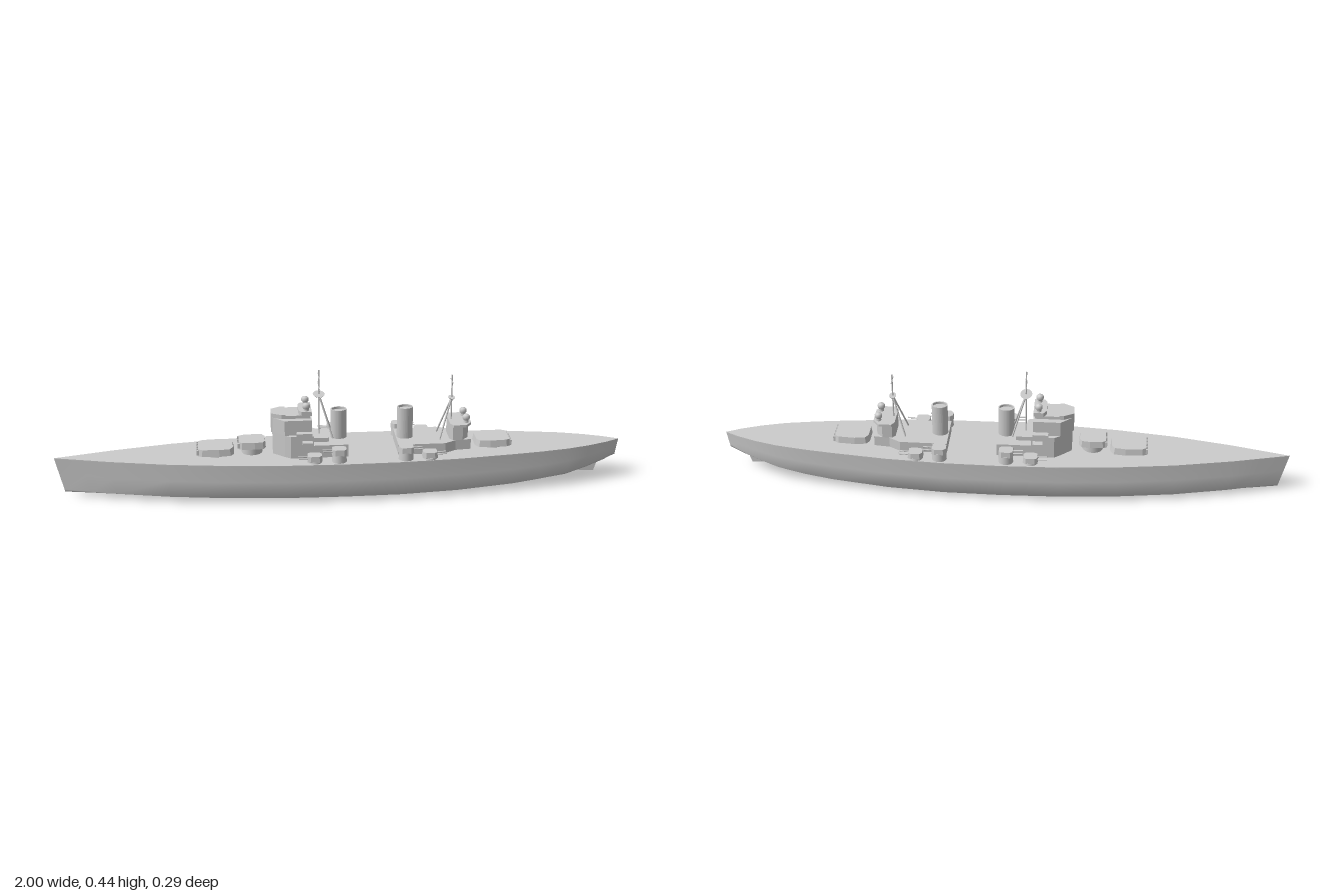
import * as THREE from 'three';

const grey = new THREE.MeshStandardMaterial({ color: 0xcccccc, side: THREE.DoubleSide });

function add(parent, name, geometry, x = 0, y = 0, z = 0) {
  const mesh = new THREE.Mesh(geometry, grey);
  mesh.name = name;
  mesh.position.set(x, y, z);
  parent.add(mesh);
  return mesh;
}

// Solid with a symmetric plan, given as half outline [x, z] from one end to the other
function prism(half, y0, y1, taper = 1) {
  const pts = [...half, ...half.slice().reverse().filter(p => p[1] > 0).map(([x, z]) => [x, -z])];
  const shape = new THREE.Shape(pts.map(([x, z]) => new THREE.Vector2(x, z)));
  const g = new THREE.ExtrudeGeometry(shape, { depth: y1 - y0, bevelEnabled: false });
  g.rotateX(-Math.PI / 2);
  const cx = (half[0][0] + half[half.length - 1][0]) / 2;
  const p = g.attributes.position;
  for (let i = 0; i < p.count; i++) {
    if (p.getY(i) > (y1 - y0) / 2) {
      p.setX(i, cx + (p.getX(i) - cx) * taper);
      p.setZ(i, p.getZ(i) * taper);
    }
  }
  g.translate(0, y0, 0);
  g.computeVertexNormals();
  return g;
}

const box = (x0, x1, y0, y1, w) => prism([[x0, w], [x1, w]], y0, y1);

// Thin round rod between two points
function rod(parent, name, a, b, r) {
  const A = new THREE.Vector3(...a), B = new THREE.Vector3(...b);
  const m = add(parent, name, new THREE.CylinderGeometry(r, r, A.distanceTo(B), 8));
  m.position.copy(A).add(B).multiplyScalar(0.5);
  m.quaternion.setFromUnitVectors(new THREE.Vector3(0, 1, 0), B.sub(A).normalize());
}

// Stations: x, half beam, keel height, chine height, end rake at the foot
const STATIONS = [
  [-1, 0, 0.012, 0.014, 0.03], [-0.9, 0.026, 0.011, 0.014, 0.02], [-0.8, 0.052, 0.01, 0.014, 0.01],
  [-0.6, 0.094, 0.007, 0.013, 0], [-0.4, 0.122, 0.004, 0.012, 0], [-0.2, 0.139, 0.001, 0.012, 0],
  [0, 0.145, 0, 0.012, 0], [0.2, 0.143, 0.001, 0.012, 0], [0.4, 0.131, 0.006, 0.015, 0],
  [0.6, 0.108, 0.011, 0.022, 0], [0.7, 0.094, 0.013, 0.03, 0], [0.8, 0.076, 0.019, 0.042, 0],
  [0.88, 0.053, 0.04, 0.058, -0.003], [0.95, 0.026, 0.062, 0.073, -0.006], [1, 0, 0.08, 0.085, -0.01]];
const DECK = 0.14;

function hullGeometry() {
  const pos = [], idx = [], n = 9;
  for (const [x, w, keel, chine, rake] of STATIONS) {
    const side = [[DECK, 1], [(DECK + chine) / 2, 0.98], [chine + 0.006, 0.99], [chine * 0.6 + keel * 0.4, 0.7]];
    const ring = [...side, [keel, 0], ...side.slice().reverse().map(([y, f]) => [y, -f])];
    for (const [y, f] of ring) pos.push(x + rake * (DECK - y) / (DECK - keel), y, w * f);
  }
  for (let i = 0; i < STATIONS.length - 1; i++) {
    for (let j = 0; j < n - 1; j++) {
      const a = i * n + j, b = a + n;
      idx.push(a, a + 1, b, b, a + 1, b + 1);
    }
  }
  const g = new THREE.BufferGeometry();
  g.setAttribute('position', new THREE.Float32BufferAttribute(pos, 3));
  g.setIndex(idx);
  g.computeVertexNormals();
  return g;
}

// Main turret facing +x, with ribs between the gun ports
function mainTurret(parent, name, x, len, w, base, dir, ports) {
  const t = new THREE.Group();
  t.name = name;
  const h = len / 2;
  add(t, 'barbette', new THREE.CylinderGeometry(w * 0.82, w * 0.82, base - DECK + 0.006, 32), 0, (DECK + base) / 2, 0);
  add(t, 'gunhouse', prism([[-h, w * 0.55], [-h * 0.82, w * 0.9], [-h * 0.2, w], [h * 0.75, w * 0.92], [h, w * 0.75]], base, base + 0.024, 0.94));
  for (let i = 0; i <= ports; i++) {
    const z = (i / ports - 0.5) * w * 1.5;
    add(t, 'portRib', new THREE.BoxGeometry(0.008, 0.018, 0.006), h * 0.97, base + 0.012, z);
  }
  t.position.x = x;
  if (dir < 0) t.rotation.y = Math.PI;
  parent.add(t);
}

// Twin secondary turret on a round base
function sideTurret(parent, x, z, base, dir) {
  const t = new THREE.Group();
  t.name = 'secondaryTurret';
  add(t, 'base', new THREE.CylinderGeometry(0.024, 0.026, base - DECK + 0.004, 20), 0, (base + DECK) / 2, 0);
  add(t, 'gunhouse', prism([[-0.026, 0.012], [-0.016, 0.022], [0.016, 0.022], [0.026, 0.016]], base, base + 0.021, 0.93));
  for (const s of [-1, 1]) {
    rod(t, 'barrel', [0.02, base + 0.011, s * 0.009], [0.058, base + 0.013, s * 0.009], 0.0025);
  }
  t.position.set(x, 0, z);
  if (dir < 0) t.rotation.y = Math.PI;
  parent.add(t);
}

function funnel(parent, name, x) {
  const outer = new THREE.Shape().absellipse(0, 0, 0.028, 0.023, 0, Math.PI * 2);
  outer.holes.push(new THREE.Path().absellipse(0, 0, 0.024, 0.019, 0, Math.PI * 2));
  const g = new THREE.ExtrudeGeometry(outer, { depth: 0.15, bevelEnabled: false, curveSegments: 20 });
  add(parent, name, g.rotateX(-Math.PI / 2), x, DECK, 0);
  const cap = add(parent, name + 'Grate', new THREE.CylinderGeometry(0.024, 0.024, 0.004, 24), x, 0.28, 0);
  cap.scale.z = 0.8;
}

function director(parent, x, y, z) {
  add(parent, 'directorPedestal', new THREE.CylinderGeometry(0.008, 0.01, 0.02, 16), x, y, z);
  const pts = [[0, 0], [0.009, 0.001], [0.013, 0.006], [0.013, 0.015], [0.009, 0.02], [0, 0.022]];
  add(parent, 'director', new THREE.LatheGeometry(pts.map(p => new THREE.Vector2(...p)), 20), x, y + 0.004, z);
}

// Tripod mast with a small top and cross yards [y, half length]
function mast(parent, name, x, foot, apex, top, lean, platform, yards) {
  const m = new THREE.Group();
  m.name = name;
  rod(m, 'pole', [x, foot, 0], [x, top, 0], 0.0025);
  for (const s of [-1, 1]) rod(m, 'leg', [x, apex, 0], [x + lean, foot, s * 0.038], 0.003);
  add(m, 'maintop', new THREE.CylinderGeometry(platform, platform * 0.8, 0.004, 16), x, apex, 0).scale.x = 0.6;
  for (const [y, w] of yards) rod(m, 'yard', [x, y, -w], [x, y, w], 0.0015);
  parent.add(m);
}

export function createModel() {
  const ship = new THREE.Group();
  ship.name = 'battleship';

  // Hull, deck and rudder
  add(ship, 'hull', hullGeometry());
  add(ship, 'deck', prism(STATIONS.map(([x, w]) => [x, w]), DECK - 0.003, DECK));
  const fin = new THREE.Shape([[0.86, 0.022], [0.915, 0.02], [0.93, 0.07], [0.865, 0.06]].map(p => new THREE.Vector2(...p)));
  add(ship, 'rudder', new THREE.ExtrudeGeometry(fin, { depth: 0.006, bevelEnabled: false }), 0, 0, -0.003);

  // Main turrets
  mainTurret(ship, 'forwardTurret', -0.44, 0.128, 0.054, 0.146, -1, 4);
  mainTurret(ship, 'raisedTurret', -0.313, 0.096, 0.044, 0.164, -1, 2);
  mainTurret(ship, 'aftTurret', 0.537, 0.126, 0.054, 0.146, 1, 4);

  // Forward superstructure
  const fore = new THREE.Group();
  fore.name = 'forwardSuperstructure';
  ship.add(fore);
  add(fore, 'deckhouse', prism([[-0.24, 0.025], [-0.2, 0.062], [-0.18, 0.077], [0.02, 0.077]], DECK, 0.185));
  add(fore, 'lowerBridge', prism([[-0.24, 0.025], [-0.2, 0.062], [-0.18, 0.077], [-0.1, 0.077]], 0.185, 0.22));
  add(fore, 'bridgeTower', prism([[-0.24, 0.025], [-0.2, 0.063], [-0.105, 0.063]], 0.22, 0.274));
  add(fore, 'bridgeFront', prism([[-0.245, 0.022], [-0.21, 0.042], [-0.195, 0.042]], 0.22, 0.289));
  add(fore, 'upperBridge', box(-0.2, -0.11, 0.27, 0.285, 0.042));
  add(fore, 'bridgeWing', box(-0.14, -0.105, 0.196, 0.204, 0.1));
  add(fore, 'signalWing', box(-0.16, -0.105, 0.22, 0.232, 0.083));
  add(fore, 'directorPlatform', prism([[-0.15, 0.03], [-0.14, 0.047], [-0.105, 0.047]], 0.285, 0.3));
  for (const s of [-1, 1]) director(fore, -0.123, 0.302, s * 0.033);
  add(fore, 'mastHouse', box(-0.1, -0.045, 0.185, 0.2, 0.045));
  funnel(fore, 'forwardFunnel', -0.008);
  mast(fore, 'foremast', -0.077, 0.195, 0.345, 0.435, 0.045, 0.035, [[0.375, 0.047], [0.413, 0.031]]);

  // Aft superstructure
  const aft = new THREE.Group();
  aft.name = 'aftSuperstructure';
  ship.add(aft);
  add(aft, 'deckhouse', prism([[0.195, 0.076], [0.36, 0.076], [0.4, 0.052], [0.455, 0.046]], DECK, 0.177));
  add(aft, 'aftTower', prism([[0.38, 0.035], [0.39, 0.05], [0.425, 0.05], [0.447, 0.025]], 0.177, 0.232));
  add(aft, 'aftPlatform', prism([[0.38, 0.045], [0.39, 0.062], [0.435, 0.062], [0.456, 0.035]], 0.228, 0.237));
  for (const s of [-1, 1]) director(aft, 0.438, 0.241, s * 0.033);
  funnel(aft, 'aftFunnel', 0.226);
  mast(aft, 'mainmast', 0.39, 0.177, 0.318, 0.403, -0.045, 0.02, [[0.38, 0.024]]);

  // Secondary turrets along both sides
  for (const s of [-1, 1]) {
    sideTurret(ship, -0.1, s * 0.112, 0.145, -1);
    sideTurret(ship, -0.015, s * 0.112, 0.166, -1);
    sideTurret(ship, 0.217, s * 0.112, 0.166, 1);
    sideTurret(ship, 0.3, s * 0.112, 0.145, 1);
  }
  return ship;
}
